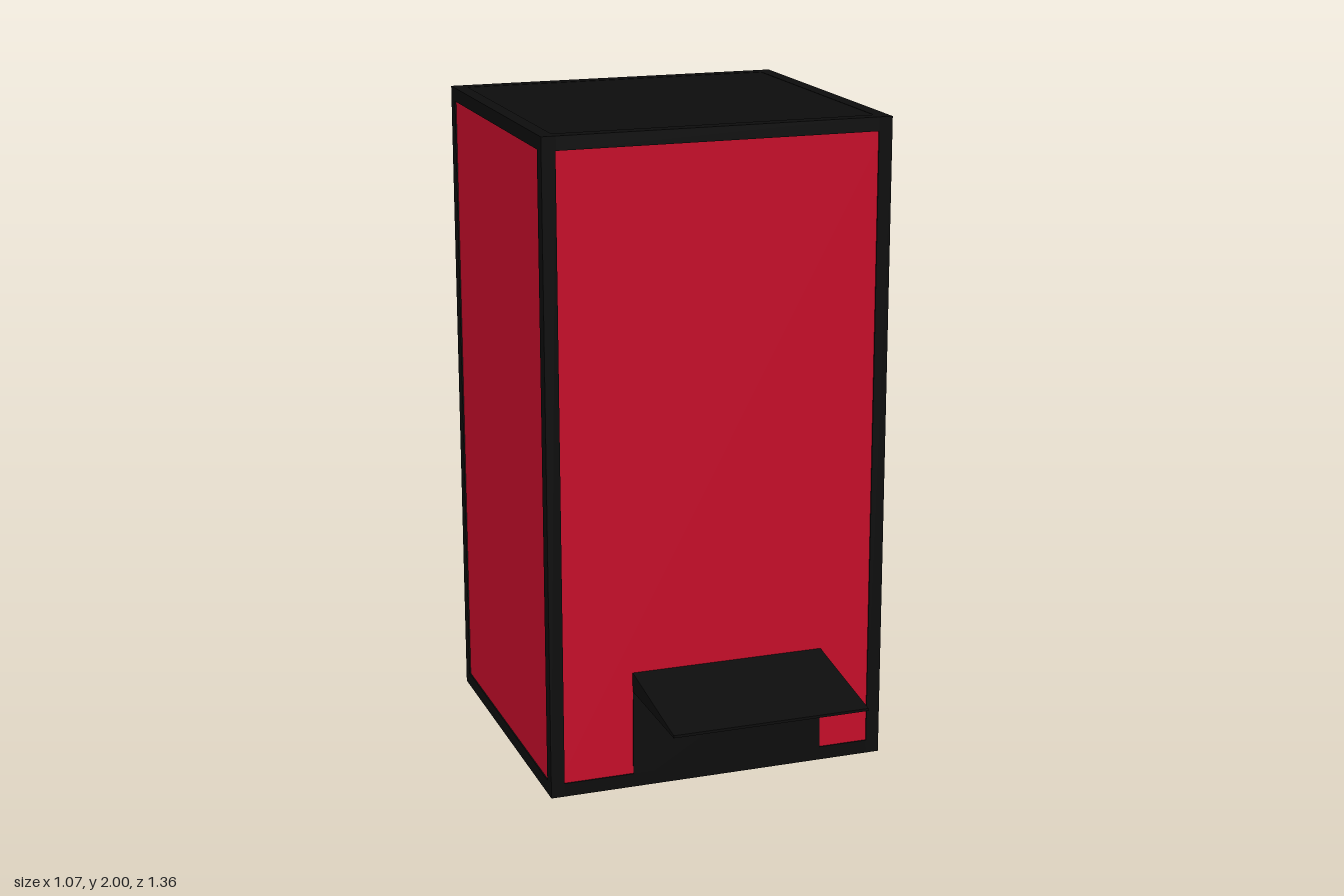
import * as THREE from 'three';

const red = new THREE.MeshStandardMaterial({ color: 0xc80d2a });
const black = new THREE.MeshStandardMaterial({ color: 0x0d0d0d });

// Outer limits of the cabinet and the width of its frame bars
const X = 0.533, H = 2, Z0 = -0.682, Z1 = 0.313, BAR = 0.042, INSET = 0.004;
const ZC = (Z0 + Z1) / 2, D = Z1 - Z0;

function box(parent, name, material, w, h, d, x, y, z) {
  const mesh = new THREE.Mesh(new THREE.BoxGeometry(w, h, d), material);
  mesh.name = name;
  mesh.position.set(x, y, z);
  parent.add(mesh);
}

export function createModel() {
  const model = new THREE.Group();
  model.name = 'cabinet';

  // Red body, set back slightly behind the frame
  box(model, 'body', red, 2 * (X - INSET), H - 2 * INSET, D - 2 * INSET, 0, H / 2, ZC);

  // Black frame along all twelve edges
  const frame = new THREE.Group();
  frame.name = 'frame';
  model.add(frame);
  const inner = BAR / 2;
  for (const a of [-1, 1]) {
    for (const b of [-1, 1]) {
      const x = a * (X - inner), y = H / 2 + b * (H / 2 - inner);
      box(frame, 'post', black, BAR, H, BAR, x, H / 2, ZC + b * (D / 2 - inner));
      box(frame, 'sideRail', black, BAR, BAR, D - 2 * BAR, x, y, ZC);
      box(frame, 'crossRail', black, 2 * (X - BAR), BAR, BAR, 0, y, ZC + a * (D / 2 - inner));
    }
  }

  // Black roof panel between the top rails
  box(model, 'roofPanel', black, 2 * (X - BAR), 0.04, D - 2 * BAR, 0, H - 0.021, ZC);

  // Door panel low on the front
  const left = -0.273, right = 0.334, width = right - left, mid = (left + right) / 2;
  box(model, 'door', black, width, 0.366, 0.03, mid, 0.185, Z1 - 0.015);

  // Wedge-shaped flap reaching out over the door
  const profile = new THREE.Shape([
    new THREE.Vector2(Z1 - 0.01, 0.308),
    new THREE.Vector2(0.682, 0.308),
    new THREE.Vector2(0.682, 0.316),
    new THREE.Vector2(Z1, 0.368),
    new THREE.Vector2(Z1 - 0.01, 0.368),
  ]);
  const flap = new THREE.Mesh(
    new THREE.ExtrudeGeometry(profile, { depth: width, bevelEnabled: false }), black);
  flap.name = 'flap';
  flap.rotation.y = -Math.PI / 2;
  flap.position.x = right;
  model.add(flap);

  return model;
}
